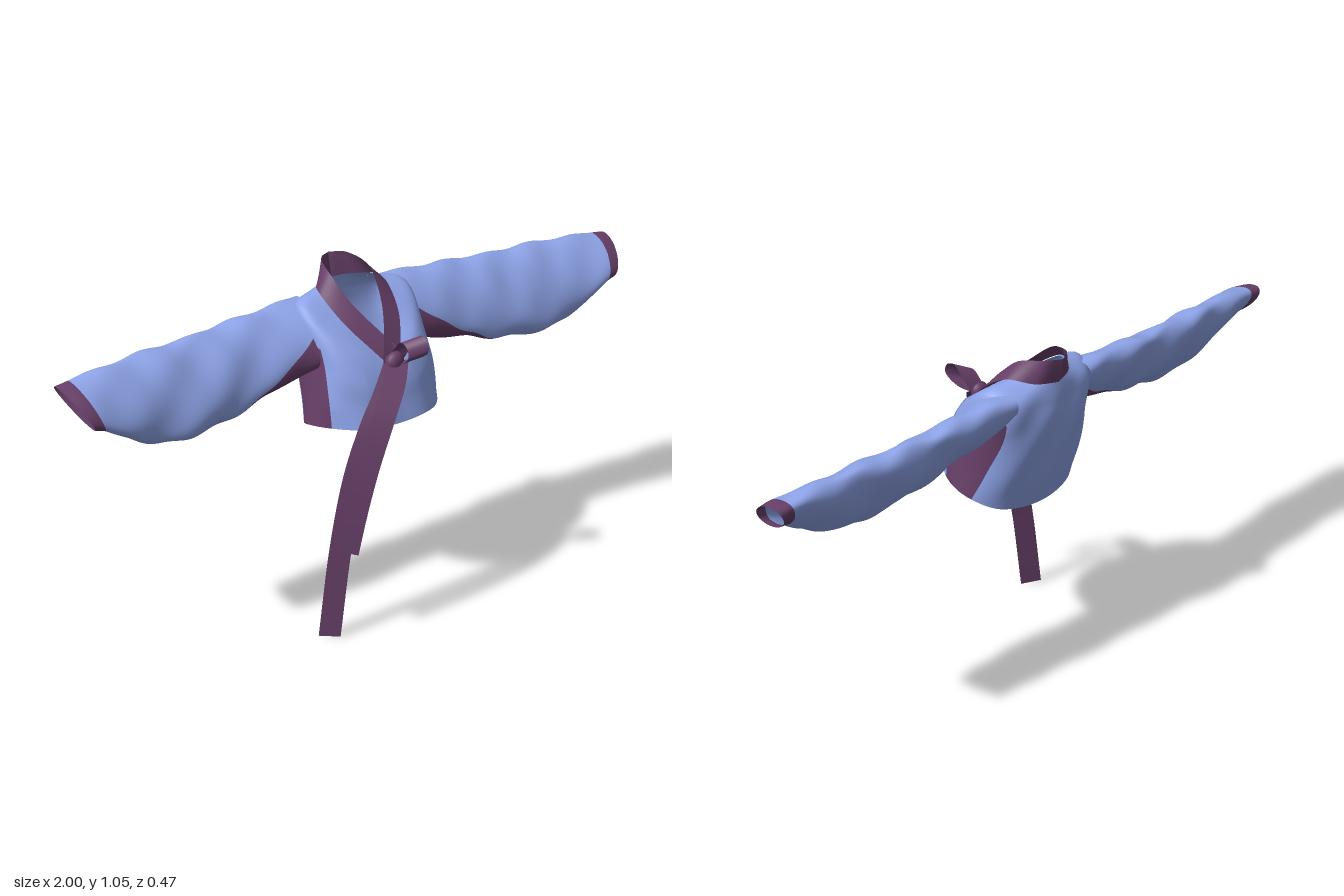
import * as THREE from 'three';

const V = (x, y, z) => new THREE.Vector3(x, y, z);
const cloth = (color) => new THREE.MeshStandardMaterial({ color, side: THREE.DoubleSide });
const clamp = (t) => Math.min(1, Math.max(0, t));
const lerp = THREE.MathUtils.lerp;

// Mesh over surface f(u, v); the u limits are functions of v, so panels meet along any seam.
// Normals come from the surface itself, so neighbouring panels shade as one cloth.
function patch(name, material, f, uA, uB, vA, vB, nu, nv) {
  const pos = [], nor = [], idx = [], e = 0.004;
  for (let j = 0; j <= nv; j++) {
    const v = lerp(vA, vB, j / nv);
    for (let i = 0; i <= nu; i++) {
      const u = lerp(uA(v), uB(v), i / nu);
      const du = f(u + e, v).sub(f(u - e, v));
      const dv = f(u, clamp(v + e)).sub(f(u, clamp(v - e)));
      pos.push(...f(u, v).toArray());
      nor.push(...du.cross(dv).normalize().toArray());
      if (i < nu && j < nv) {
        const a = j * (nu + 1) + i, b = a + 1, c = a + nu + 1, d = c + 1;
        idx.push(a, b, d, a, d, c);
      }
    }
  }
  const g = new THREE.BufferGeometry();
  g.setAttribute('position', new THREE.Float32BufferAttribute(pos, 3));
  g.setAttribute('normal', new THREE.Float32BufferAttribute(nor, 3));
  g.setIndex(idx);
  const mesh = new THREE.Mesh(g, material);
  mesh.name = name;
  return mesh;
}

const curve = (pts, closed = false) =>
  new THREE.CatmullRomCurve3(pts.map((p) => V(...p)), closed, 'catmullrom', 0.5);

// Torso rings from hem to neck: half rings from centre front round the side to centre back
const rings = [
  [[0, .63, .138], [.13, .635, .12], [.2, .63, .04], [.212, .61, -.06], [.14, .57, -.13], [0, .555, -.155]],
  [[0, .69, .125], [.12, .7, .108], [.193, .71, .04], [.2, .71, -.08], [.145, .69, -.165], [0, .69, -.195]],
  [[0, .74, .115], [.11, .77, .095], [.18, .8, .03], [.195, .81, -.1], [.14, .82, -.195], [0, .84, -.223]],
  [[0, .77, .106], [.09, .84, .065], [.165, .9, -.01], [.195, .955, -.11], [.15, .93, -.195], [0, .92, -.22]],
  [[0, .8, .088], [.045, .85, .045], [.09, .92, -.025], [.104, .985, -.12], [.065, .985, -.185], [0, .98, -.212]],
].map((half) => curve([...half, ...half.slice(1, -1).reverse().map(([x, y, z]) => [-x, y, z])], true));

function torsoPoint(u, v) {
  const p = new THREE.CatmullRomCurve3(rings.map((r) => r.getPoint(u)), false, 'catmullrom', 0.5).getPoint(v);
  // soft drapery folds
  const w = Math.sin(v * Math.PI) * 0.003;
  p.z += w * Math.sin(p.x * 45 + p.y * 25);
  return p;
}

// Sleeve stations: [x, top, bottom] and [back z, front z]
const sleeveY = curve([
  [.15, .965, .81], [.24, .965, .778], [.36, .957, .75], [.5, .948, .714], [.62, .945, .7],
  [.76, .942, .717], [.87, .936, .762], [.95, .927, .803], [1, .92, .812]]);
const sleeveZ = curve([
  [-.205, .0, 0], [-.197, -.015, 0], [-.19, -.022, 0], [-.185, -.008, 0], [-.178, 0, 0],
  [-.168, .002, 0], [-.158, .002, 0], [-.152, .001, 0], [-.15, -.003, 0]]);

function sleevePoint(side) {
  return (u, v) => {
    const phi = u * Math.PI * 2;
    const a = sleeveY.getPoint(v), b = sleeveZ.getPoint(v);
    const c = Math.cos(phi);
    const fold = Math.sin(v * Math.PI) * (1 - 0.6 * v);
    const y = (a.y + a.z) / 2 + (a.y - a.z) / 2 * c
      + 0.006 * fold * Math.sin(a.x * 38 + phi * 2);
    const z = (b.x + b.y) / 2 + (b.y - b.x) / 2 * Math.sin(phi - 0.7)
      + 0.007 * fold * Math.sin(a.x * 24 - phi * 3);
    // the cuff end is cut at a slant
    const x = a.x - 0.055 * clamp((v - 0.6) / 0.4) * (1 - c) / 2;
    return V(side * x, y, z);
  };
}

// Collar band edges from centre back, over the shoulder, to the front crossing
const collarOuter = curve([[0, .972, -.218], [.07, .98, -.192], [.114, .985, -.118], [.098, .92, -.018],
  [.05, .85, .058], [-.005, .78, .115]]);
const collarInner = curve([[0, 1.052, -.236], [.046, 1.051, -.205], [.068, 1.03, -.125], [.052, .965, -.045],
  [.012, .9, .028], [-.045, .825, .102]]);

function collarPoint(side) {
  return (u, v) => {
    const t = clamp(u);
    const p = collarOuter.getPoint(t).lerp(collarInner.getPoint(t), v);
    p.z += side * 0.006 * t * t;
    p.x *= side;
    return p;
  };
}

// Flat ribbon of a given width vector swept along a path
function ribbon(name, material, points, width, n = 40) {
  const path = curve(points), w = V(...width);
  const f = (u, v) => path.getPoint(v).addScaledVector(w, u - 0.5);
  return patch(name, material, f, () => 0, () => 1, 0, 1, 2, n);
}

export function createModel() {
  const model = new THREE.Group();
  const blue = cloth(0x8fa5ea), plum = cloth(0x673f68);
  const add = (...args) => model.add(patch(...args));

  // Body: front and back panels with side panels between them
  const sideA = (v) => 0.185 + 0.06 * v, sideB = (v) => 0.31 + 0.1 * v;
  add('frontBody', blue, torsoPoint, (v) => -sideA(v), sideA, 0, 1, 40, 28);
  add('backBody', blue, torsoPoint, sideB, (v) => 1 - sideB(v), 0, 1, 32, 28);

  // Overlapping front flap, lifted slightly off the body
  const flap = (u, v) => {
    const p = torsoPoint(u, v);
    p.z += 0.009 * clamp((0.16 - u) / 0.1);
    p.y += 0.008 * (1 - v);
    return p;
  };
  add('frontFlap', blue, flap, () => -0.025, () => 0.16, 0, 0.85, 16, 20);

  for (const side of [1, -1]) {
    const label = side > 0 ? 'left' : 'right';
    const uA = side > 0 ? sideA : (v) => 1 - sideB(v);
    const uB = side > 0 ? sideB : (v) => 1 - sideA(v);
    add(label + 'SidePanel', plum, torsoPoint, uA, uB, 0, 0.62, 14, 18);
    add(label + 'Shoulder', blue, torsoPoint, uA, uB, 0.62, 1, 14, 12);

    // Sleeve, with a gusset tapering out along the underside
    const f = sleevePoint(side);
    const tip = 0.39, cuff = 0.885;
    const front = (v) => lerp(0.19, 0.5, clamp(v / tip) ** 1.1);
    const back = (v) => lerp(0.74, 0.5, clamp(v / tip) ** 1.1);
    add(label + 'Sleeve', blue, f, (v) => back(v) - 1, front, 0, cuff, 48, 70);
    add(label + 'Gusset', plum, f, front, back, 0, tip, 20, 30);
    add(label + 'Cuff', plum, f, () => 0, () => 1, cuff, 1, 40, 8);

    add(label + 'Collar', plum, collarPoint(side), () => 0, () => 1, 0, 1, 40, 4);
  }

  // Tie: two hanging ribbons, a single bow loop and the knot
  model.add(ribbon('shortTie', plum, [[.0, .83, .115], [-.05, .775, .165], [-.115, .69, .2],
    [-.18, .56, .215], [-.225, .43, .219], [-.258, .307, .219]], [.056, -.016, .036]));
  model.add(ribbon('longTie', plum, [[-.005, .82, .112], [-.06, .745, .135], [-.13, .65, .155],
    [-.195, .5, .163], [-.245, .28, .164], [-.284, .006, .162]], [.056, -.006, .035]));
  model.add(ribbon('bowLoop', plum, [[-.01, .81, .1], [.012, .825, .145], [.022, .855, .185],
    [.024, .888, .18], [.022, .898, .15], [.016, .865, .122], [0, .815, .1]], [.05, .022, .032]));

  const knot = new THREE.Mesh(new THREE.SphereGeometry(0.03, 20, 14), plum);
  knot.name = 'knot';
  knot.scale.set(1, 1.1, 0.75);
  knot.rotation.z = -0.6;
  knot.position.set(-0.008, 0.82, 0.112);
  model.add(knot);
  return model;
}
